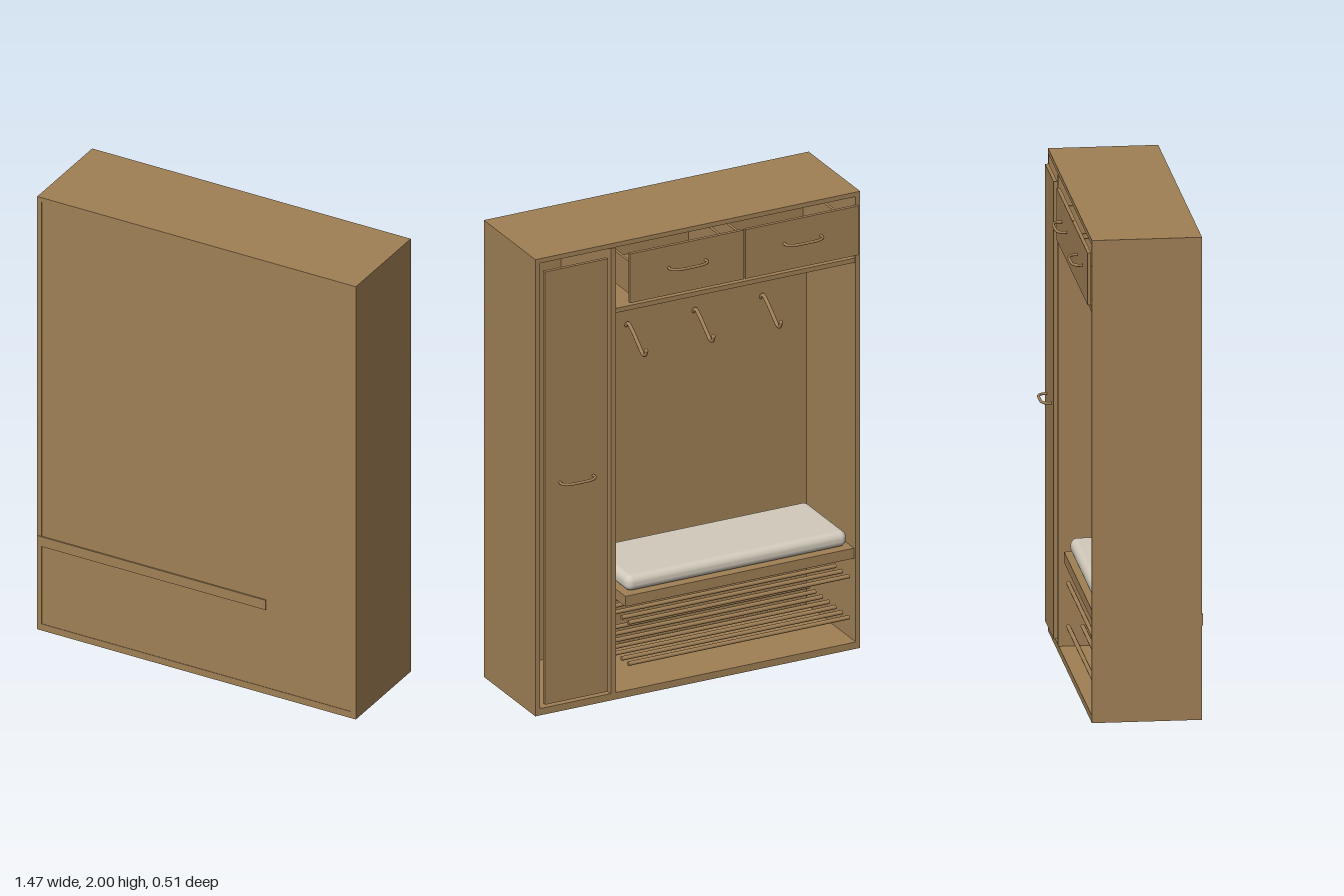
import * as THREE from 'three';
import { RoundedBoxGeometry } from 'three/addons/geometries/RoundedBoxGeometry.js';

export function createModel() {
  const model = new THREE.Group();
  model.name = 'hallwayWardrobe';

  const wood = new THREE.MeshStandardMaterial({ color: 0xa08055 });
  wood.name = 'wood';
  const fabric = new THREE.MeshStandardMaterial({ color: 0xd2cabb });
  fabric.name = 'cushion fabric';

  const add = (name, geometry, material = wood) => {
    const mesh = new THREE.Mesh(geometry, material);
    mesh.name = name;
    model.add(mesh);
    return mesh;
  };

  // Box given by its limits on each axis
  const box = (name, [x0, x1], [y0, y1], [z0, z1]) =>
    add(name, new THREE.BoxGeometry(x1 - x0, y1 - y0, z1 - z0))
      .position.set((x0 + x1) / 2, (y0 + y1) / 2, (z0 + z1) / 2);

  const tube = (name, points, radius, steps) => {
    const curve = new THREE.CatmullRomCurve3(points.map(p => new THREE.Vector3(...p)));
    return add(name, new THREE.TubeGeometry(curve, steps, radius, 8));
  };

  // Carcass
  const depth = [-0.195, 0.25];
  box('base', [-0.735, 0.735], [0, 0.02], depth);
  box('floor', [-0.735, 0.735], [0.02, 0.03], depth);
  box('topPanel', [-0.735, 0.735], [1.98, 2], depth);
  box('rightSide', [-0.735, -0.715], [0.03, 1.98], depth);
  box('leftSide', [0.715, 0.735], [0.03, 1.98], depth);
  box('backPanel', [-0.715, 0.715], [0.03, 1.98], [0.232, 0.248]);
  box('partition', [0.372, 0.395], [0.03, 1.98], [-0.198, 0.232]);
  box('upperShelf', [-0.715, 0.372], [1.69, 1.71], [-0.19, 0.232]);

  // Cupboard door
  box('door', [0.415, 0.70], [0.05, 1.945], [-0.211, -0.196]);

  // Drawers: a front with a lower open box behind it
  for (const [x0, x1] of [[-0.72, -0.207], [-0.2, 0.315]]) {
    const a = x0 + 0.03, b = x1 - 0.03;
    box('drawerFront', [x0, x1], [1.73, 1.945], [-0.211, -0.196]);
    box('drawerBottom', [a, b], [1.74, 1.75], [-0.196, 0.2]);
    box('drawerSide', [a, a + 0.012], [1.75, 1.88], [-0.196, 0.2]);
    box('drawerSide', [b - 0.012, b], [1.75, 1.88], [-0.196, 0.2]);
    box('drawerBack', [a + 0.012, b - 0.012], [1.75, 1.88], [0.188, 0.2]);
  }

  // Bow handles
  for (const [x, y, half] of [[-0.465, 1.85, 0.083], [0.057, 1.85, 0.083], [0.557, 1.01, 0.075]]) {
    tube('handle', [
      [x - half, y, -0.208], [x - half, y, -0.23], [x - half * 0.75, y, -0.246],
      [x, y, -0.251],
      [x + half * 0.75, y, -0.246], [x + half, y, -0.23], [x + half, y, -0.208],
    ], 0.006, 32);
  }

  // Bench with cushion
  box('bench', [-0.73, 0.32], [0.39, 0.435], [-0.18, 0.254]);
  add('cushion', new RoundedBoxGeometry(1.0, 0.068, 0.36, 5, 0.03), fabric)
    .position.set(-0.2, 0.469, 0.02);

  // Two shoe racks of round rods
  for (const y of [0.31, 0.13]) {
    for (let i = 0; i < 7; i++) {
      const rod = add('shoeRackRod', new THREE.CylinderGeometry(0.009, 0.009, 1.0, 12));
      rod.rotation.z = Math.PI / 2;
      rod.position.set(-0.2, y, -0.165 + i * 0.058);
    }
  }

  // Coat hooks
  for (const x of [0.1, -0.205, -0.51]) {
    tube('coatHook', [
      [x, 1.415, 0.235], [x, 1.432, 0.215], [x, 1.415, 0.18],
      [x, 1.37, 0.12], [x, 1.348, 0.09], [x, 1.35, 0.07], [x, 1.372, 0.06],
    ], 0.008, 28);
    add('hookTip', new THREE.SphereGeometry(0.009, 10, 8)).position.set(x, 1.372, 0.06);
  }

  return model;
}
